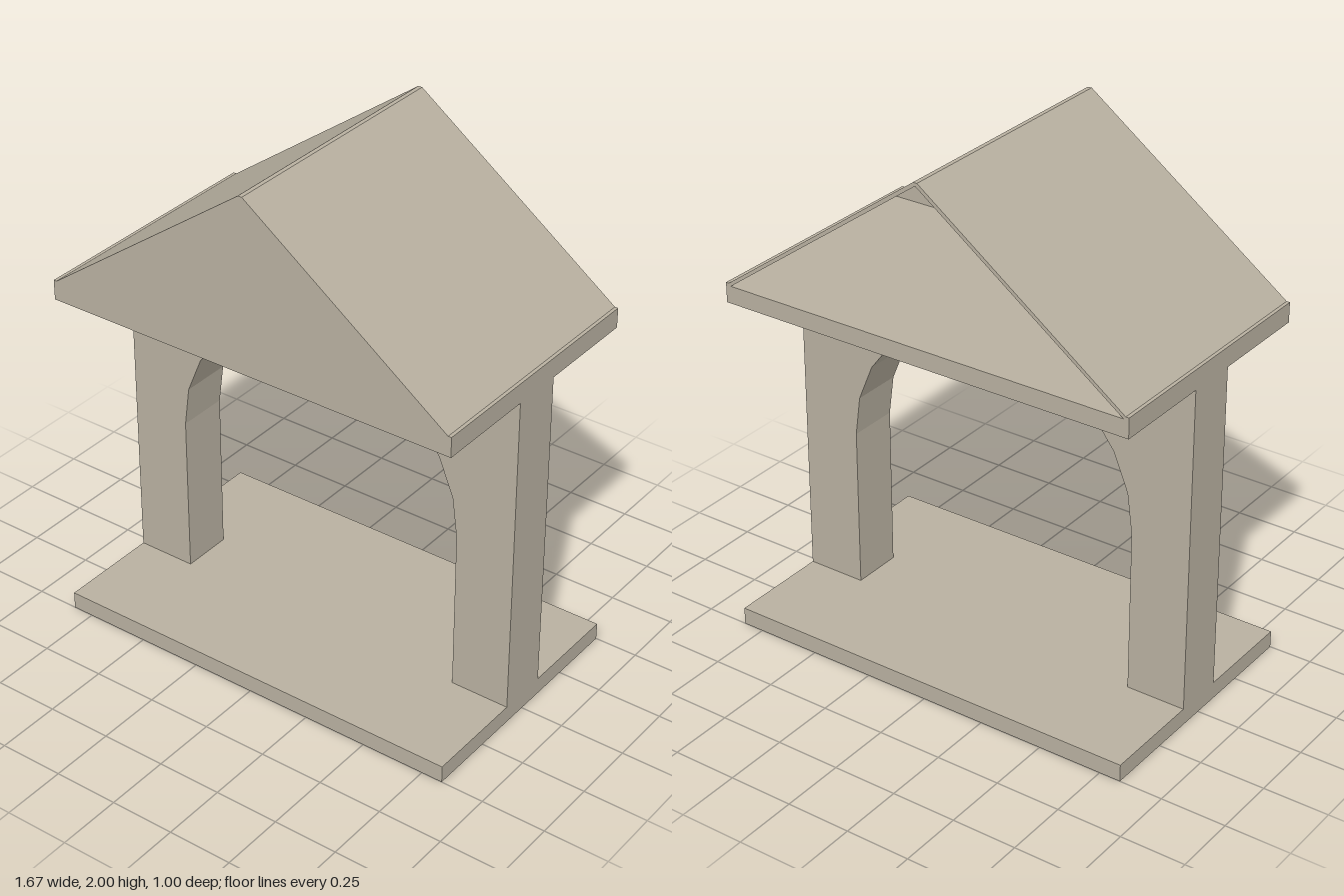
import * as THREE from 'three';

const W = 0.833;    // half width
const D = 0.5;      // half depth
const SLAB = 0.067; // slab thickness
const TOP = 1.4;    // top of the upper slab

export function createModel() {
  const group = new THREE.Group();
  const stone = new THREE.MeshStandardMaterial({ color: 0xb8b0a0 });
  stone.name = 'warm grey stone';

  const add = (name, geometry) => {
    const mesh = new THREE.Mesh(geometry, stone);
    mesh.name = name;
    group.add(mesh);
    return mesh;
  };

  // Extrude an outline in x and y between two z positions
  const extrude = (shape, z0, z1) => new THREE.ExtrudeGeometry(shape, {
    depth: z1 - z0, bevelEnabled: false, curveSegments: 6,
  }).translate(0, 0, z0);

  const outline = (points) => new THREE.Shape(points.map(([x, y]) => new THREE.Vector2(x, y)));

  // Floor and ceiling slabs
  for (const [name, y] of [['floorSlab', 0], ['ceilingSlab', TOP - SLAB]]) {
    add(name, new THREE.BoxGeometry(2 * W, SLAB, 2 * D)).position.y = y + SLAB / 2;
  }

  // Wall with a faceted round arch, open down to the floor
  const wall = new THREE.Shape();
  wall.moveTo(-W, SLAB);
  wall.lineTo(-0.6, SLAB);
  wall.lineTo(-0.6, 0.7);
  wall.absarc(0, 0.7, 0.6, Math.PI, 0, true);
  wall.lineTo(0.6, SLAB);
  wall.lineTo(W, SLAB);
  wall.lineTo(W, TOP - SLAB);
  wall.lineTo(-W, TOP - SLAB);
  wall.closePath();
  add('archWall', extrude(wall, -0.1, 0.1));

  // Thin folded roof with small flat lips at the eaves
  const roof = outline([
    [W, TOP], [W, 1.41], [0.82, 1.41], [0.008, 2], [-0.008, 2],
    [-0.82, 1.41], [-W, 1.41], [-W, TOP], [-0.812, TOP], [0, 1.988], [0.812, TOP],
  ]);
  add('roof', extrude(roof, -D, D));

  // Gable closes the front only; the back of the loft stays open
  const gable = outline([[-0.812, TOP], [0.812, TOP], [0, 1.988]]);
  add('frontGable', extrude(gable, D - SLAB, D));

  return group;
}
